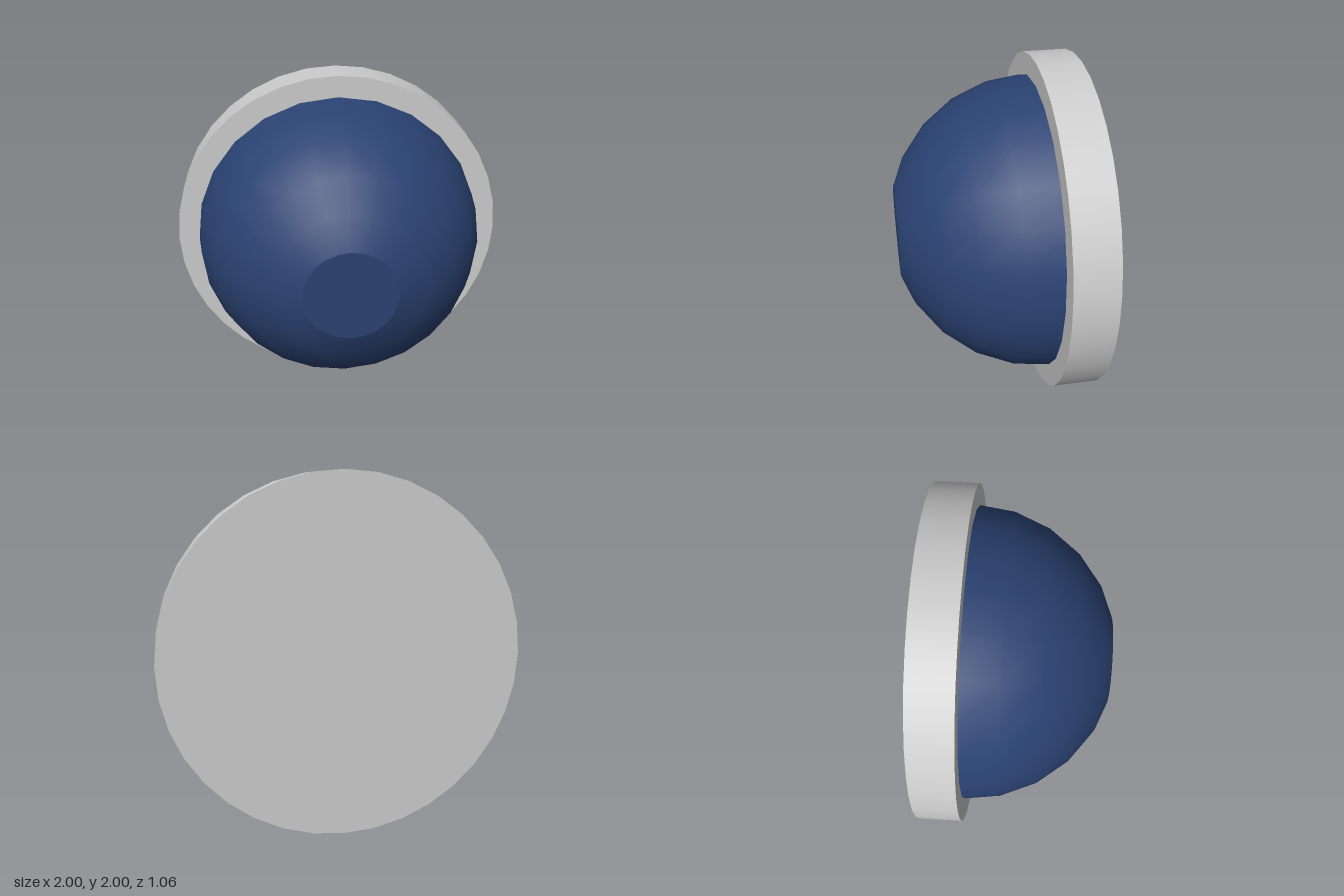
import * as THREE from 'three';

export function createModel() {
  const group = new THREE.Group();
  const grey = new THREE.MeshStandardMaterial({ color: 0xcccccc });
  const blue = new THREE.MeshStandardMaterial({ color: 0x2a4272 });

  // Round mounting plate at the back
  const plate = new THREE.Mesh(
    new THREE.CylinderGeometry(1, 1, 0.25, 36).rotateX(Math.PI / 2), grey);
  plate.name = 'backPlate';
  plate.position.set(0, 1, -0.405);
  group.add(plate);

  // Half-sphere in 15 degree steps, cut flat near its pole
  const R = 0.877, capRadius = 0.268, capHeight = 0.83;
  const profile = [];
  for (let i = 0; i < 5; i++) {
    const a = i * Math.PI / 12;
    profile.push(new THREE.Vector2(R * Math.cos(a), R * Math.sin(a)));
  }
  profile.push(new THREE.Vector2(capRadius, capHeight));

  const dome = new THREE.Group();
  dome.name = 'dome';
  dome.position.set(0, 1, -0.3);
  const shell = new THREE.Mesh(
    new THREE.LatheGeometry(profile, 24).rotateX(Math.PI / 2), blue);
  shell.name = 'domeShell';

  // Flat face closing the front of the dome
  const face = new THREE.Mesh(new THREE.CircleGeometry(capRadius, 24), blue);
  face.name = 'domeFlatFace';
  face.position.z = capHeight;
  dome.add(shell, face);
  group.add(dome);

  return group;
}
